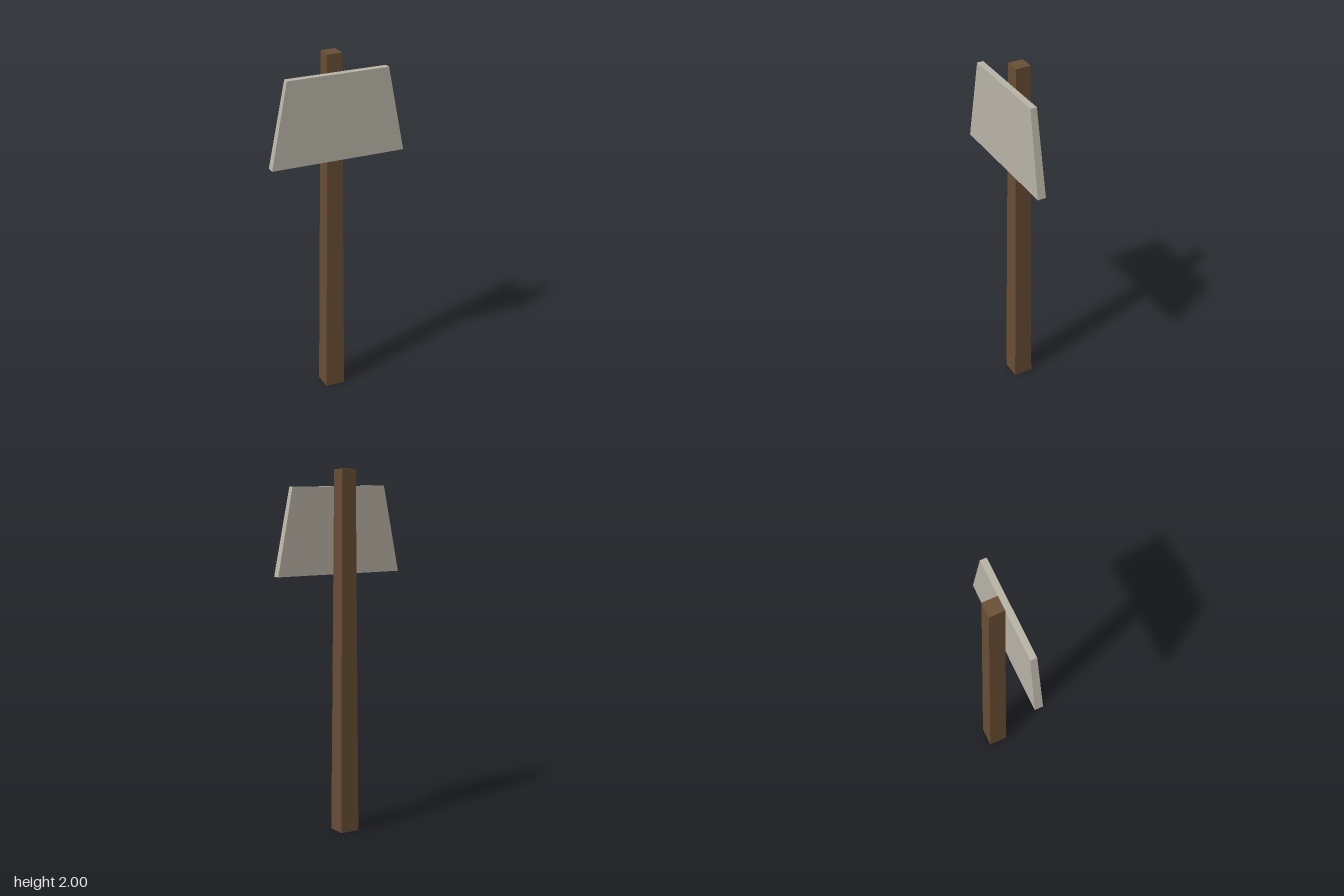
import * as THREE from 'three';

// Box whose top end is narrower than its bottom end; origin at the bottom centre
function taperedBox(height, bottomW, bottomD, topW, topD) {
  const geo = new THREE.BoxGeometry(1, height, 1);
  geo.translate(0, height / 2, 0);
  const p = geo.attributes.position;
  for (let i = 0; i < p.count; i++) {
    const top = p.getY(i) > height / 2;
    p.setX(i, p.getX(i) * (top ? topW : bottomW));
    p.setZ(i, p.getZ(i) * (top ? topD : bottomD));
  }
  geo.computeVertexNormals();
  return geo;
}

export function createModel() {
  const wood = new THREE.MeshStandardMaterial({ color: 0x6a4f35 });
  wood.name = 'brown wood';
  const board = new THREE.MeshStandardMaterial({ color: 0xbab5a8 });
  board.name = 'pale grey board';

  const model = new THREE.Group();
  model.name = 'signpost';

  // Square post, tapering upward
  const post = new THREE.Mesh(taperedBox(2, 0.112, 0.109, 0.084, 0.085), wood);
  post.name = 'post';
  post.position.set(0, 0, -0.0235);
  model.add(post);

  // Sign board, standing just in front of the post
  const sign = new THREE.Mesh(taperedBox(0.475, 0.76, 0.047, 0.574, 0.036), board);
  sign.name = 'signBoard';
  sign.position.set(0, 1.432, 0.0535);
  model.add(sign);

  return model;
}
